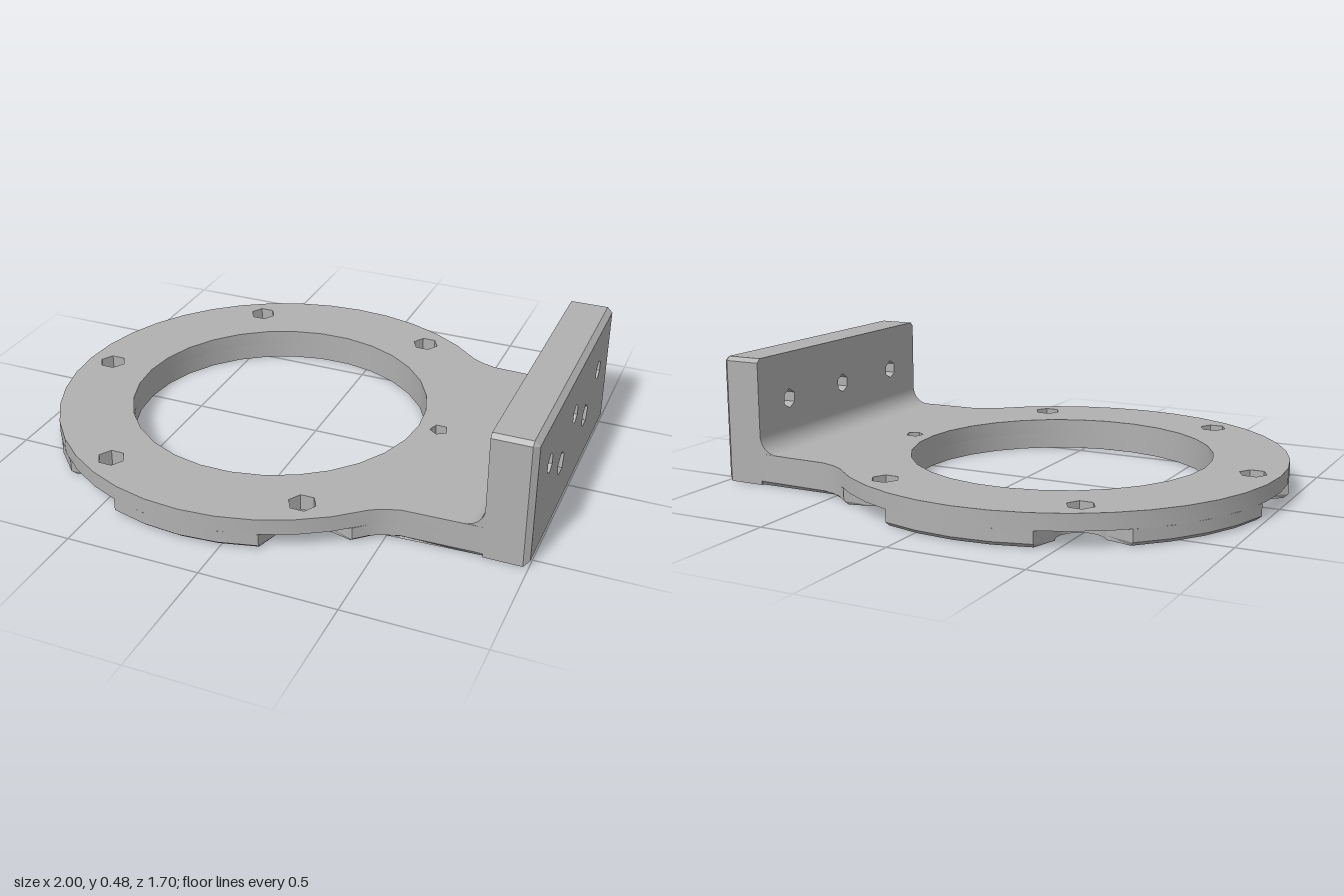
import * as THREE from 'three';
import { toCreasedNormals } from 'three/addons/utils/BufferGeometryUtils.js';

const CX = -0.15, R_OUT = 0.85, R_IN = 0.57, R_BOLT = 0.75;
const TOP = 0.12, STEP = 0.06, WALL_X = 0.84, HALF_W = 0.55, HEIGHT = 0.48;
const BOLT_ANGLES = [60, 120, 180, 240, 300];
const POCKET_HALF = 10.85, NECK = 45;
const rad = THREE.MathUtils.degToRad;
const v2 = (x, y) => new THREE.Vector2(x, y);
const polar = (r, deg) => v2(CX + r * Math.cos(rad(deg)), r * Math.sin(rad(deg)));

// Regular polygon used for every bore
function polygon(x, y, r, sides, turn = 0) {
  const pts = [];
  for (let i = 0; i < sides; i++) {
    const a = turn + (i / sides) * Math.PI * 2;
    pts.push(v2(x + r * Math.cos(a), y + r * Math.sin(a)));
  }
  return pts;
}

function shapeWithHoles(outline, holes) {
  const shape = new THREE.Shape(outline);
  for (const h of holes) shape.holes.push(new THREE.Path(h));
  return shape;
}

function arc(from, to) {
  const n = Math.max(1, Math.round((to - from) / 9));
  return Array.from({ length: n + 1 }, (_, i) => polar(R_OUT, from + ((to - from) * i) / n));
}

// Screw pocket: a round seat that flares out to the rim
function pocket(deg) {
  const c = Math.cos(rad(deg)), s = Math.sin(rad(deg)), pts = [];
  for (let a = -90; a <= 90; a += 22.5) {
    const r = R_BOLT - 0.085 * Math.cos(rad(a)), t = 0.085 * Math.sin(rad(a));
    pts.push(v2(CX + r * c - t * s, r * s + t * c));
  }
  return pts;
}

// Ring outline with the neck running to the wall
function plateOutline(withPockets) {
  const pts = [v2(WALL_X, -HALF_W), v2(WALL_X, HALF_W), v2(0.55, 0.56), v2(0.49, 0.58)];
  if (withPockets) {
    let start = NECK;
    for (const a of BOLT_ANGLES) {
      pts.push(...arc(start, a - POCKET_HALF), ...pocket(a));
      start = a + POCKET_HALF;
    }
    pts.push(...arc(start, 360 - NECK));
  } else pts.push(...arc(NECK, 360 - NECK));
  pts.push(v2(0.49, -0.58), v2(0.55, -0.56));
  return pts;
}

// Extrude, move vertices by a rule, and keep hard edges sharp
function extrude(shape, depth, steps, place, rule) {
  const geo = new THREE.ExtrudeGeometry(shape, { depth, steps, bevelEnabled: false });
  place(geo);
  if (rule) {
    const p = geo.attributes.position, v = new THREE.Vector3();
    for (let i = 0; i < p.count; i++) {
      rule(v.fromBufferAttribute(p, i));
      p.setXYZ(i, v.x, v.y, v.z);
    }
  }
  return toCreasedNormals(geo, 0.5);
}

export function createModel() {
  const group = new THREE.Group();
  const metal = new THREE.MeshStandardMaterial({ color: 0xb0b0b0 });
  metal.name = 'greyMetal';
  const add = (name, geo) => {
    const mesh = new THREE.Mesh(geo, metal);
    mesh.name = name;
    group.add(mesh);
    return mesh;
  };

  // Ring plate: full upper layer, pocketed lower layer with a chamfered bottom edge
  const opening = polygon(CX, 0, R_IN, 30);
  const neckHole = polygon(0.5, 0, 0.035, 5, Math.PI / 2);
  const boltHoles = BOLT_ANGLES.map((a) => {
    const p = polar(R_BOLT, a);
    return polygon(p.x, p.y, 0.051, 6);
  });
  const lay = (y) => (g) => g.rotateX(Math.PI / 2).translate(0, y, 0);
  add('upperPlate', extrude(
    shapeWithHoles(plateOutline(false), [opening, neckHole, ...boltHoles]),
    TOP - STEP, 1, lay(TOP)));
  add('lowerPlate', extrude(
    shapeWithHoles(plateOutline(true), [opening, neckHole]),
    STEP, 4, lay(STEP), (v) => {
      if (v.y > 0.001) return;
      const r = Math.hypot(v.x - CX, v.z);
      if (v.x > 0.46) v.z = THREE.MathUtils.clamp(v.z, -0.54, 0.54);
      else if (r > 0.84) {
        v.x = CX + (v.x - CX) * 0.98;
        v.z *= 0.98;
      }
    }));

  // Upright wall: through holes in both layers, blind holes in the outer one
  const c = 0.015;
  const wallOutline = [
    v2(-HALF_W, 0), v2(HALF_W, 0), v2(HALF_W, HEIGHT - c), v2(HALF_W - c, HEIGHT),
    v2(-HALF_W + c, HEIGHT), v2(-HALF_W, HEIGHT - c),
  ];
  const through = [-0.36, 0, 0.36].map((z) => polygon(z, 0.3, 0.037, 6, Math.PI / 6));
  const blind = [-0.18, 0.18].map((z) => polygon(z, 0.2, 0.045, 5, Math.PI / 2));
  const stand = (x) => (g) => g.rotateY(Math.PI / 2).translate(x, 0, 0);
  add('wallInner', extrude(shapeWithHoles(wallOutline, through), 0.1, 1, stand(WALL_X)));
  add('wallOuter', extrude(
    shapeWithHoles(wallOutline, [...through, ...blind]), 0.06, 3, stand(0.94), (v) => {
      if (v.x < 0.999) return;
      v.z = THREE.MathUtils.clamp(v.z, -HALF_W + 0.018, HALF_W - 0.018);
      v.y = THREE.MathUtils.clamp(v.y, 0.018, HEIGHT - 0.018);
    }));

  // Conical bottoms of the blind holes, facing outward
  for (const z of [-0.18, 0.18]) {
    const rim = polygon(z, 0.2, 0.045, 5, Math.PI / 2), pos = [];
    rim.forEach((p, i) => {
      const q = rim[(i + 1) % rim.length];
      pos.push(0.995, p.y, -p.x, 0.995, q.y, -q.x, 0.942, 0.2, -z);
    });
    const geo = new THREE.BufferGeometry();
    geo.setAttribute('position', new THREE.Float32BufferAttribute(pos, 3));
    geo.computeVertexNormals();
    add('blindHole', geo);
  }

  // Fillet where the plate turns up into the wall
  const fillet = new THREE.Shape();
  fillet.moveTo(0.77, TOP);
  fillet.lineTo(WALL_X, TOP);
  fillet.lineTo(WALL_X, TOP + 0.07);
  fillet.absarc(0.77, TOP + 0.07, 0.07, 0, -Math.PI / 2, true);
  add('fillet', extrude(fillet, HALF_W * 2, 1, (g) => g.translate(0, 0, -HALF_W)));

  return group;
}
